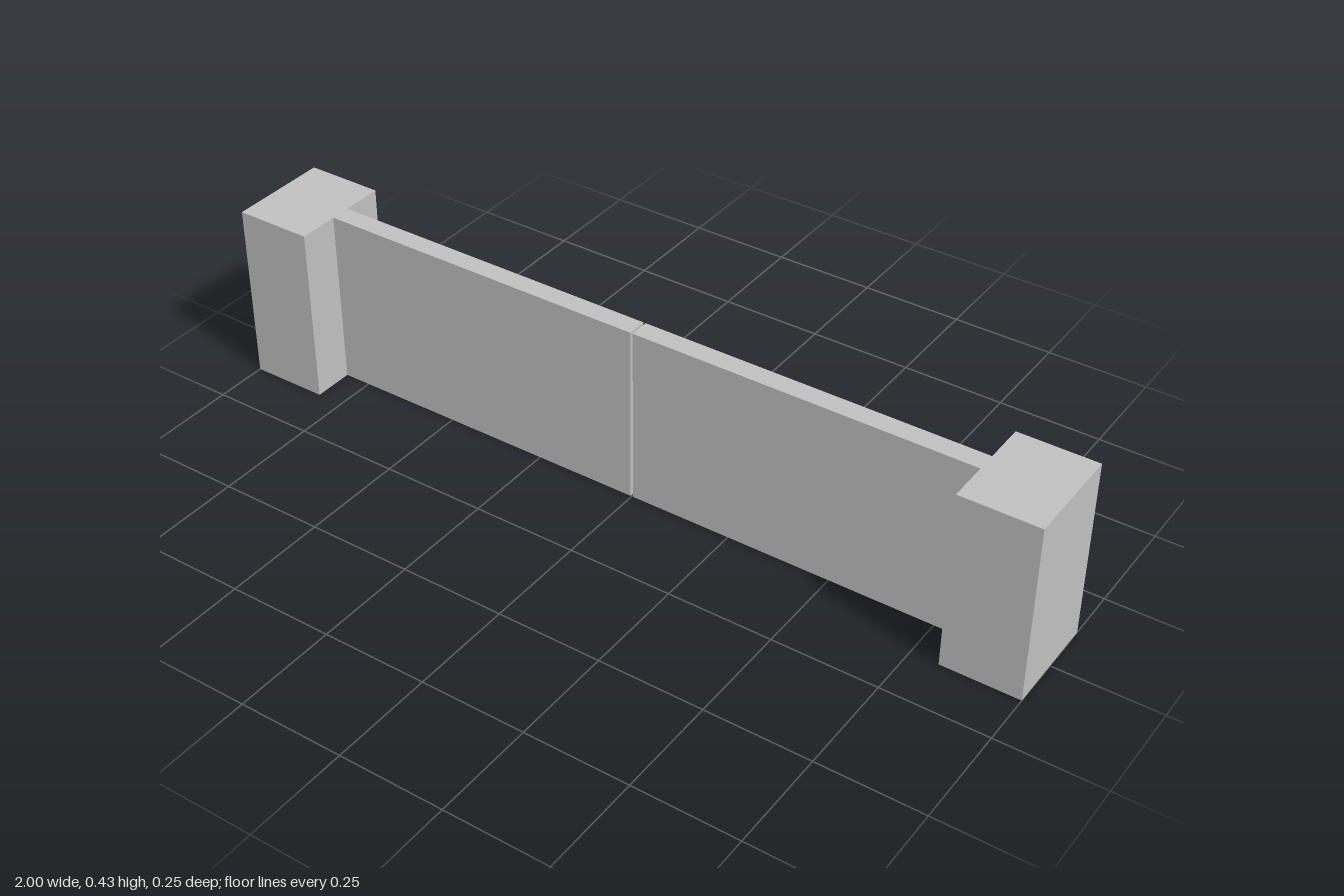
import * as THREE from 'three';

const HEIGHT = 0.43;
const POST_WIDTH = 0.185;
const POST_DEPTH = 0.245;
const PANEL_DEPTH = 0.048;
const GAP = 0.006;

export function createModel() {
  const model = new THREE.Group();
  model.name = 'doubleGate';

  const grey = new THREE.MeshStandardMaterial({ color: 0xc0c0c0 });
  grey.name = 'light grey';

  // Upright box standing on the ground between two x positions
  const addBox = (name, x0, x1, depth) => {
    const mesh = new THREE.Mesh(new THREE.BoxGeometry(Math.abs(x1 - x0), HEIGHT, depth), grey);
    mesh.name = name;
    mesh.position.set((x0 + x1) / 2, HEIGHT / 2, 0);
    model.add(mesh);
  };

  // A post and a gate leaf on each side, with a narrow slit between the leaves
  for (const [side, s] of [['left', 1], ['right', -1]]) {
    addBox(`${side}Post`, s * (1 - POST_WIDTH), s, POST_DEPTH);
    addBox(`${side}GateLeaf`, s * GAP / 2, s * (1 - POST_WIDTH), PANEL_DEPTH);
  }

  return model;
}
